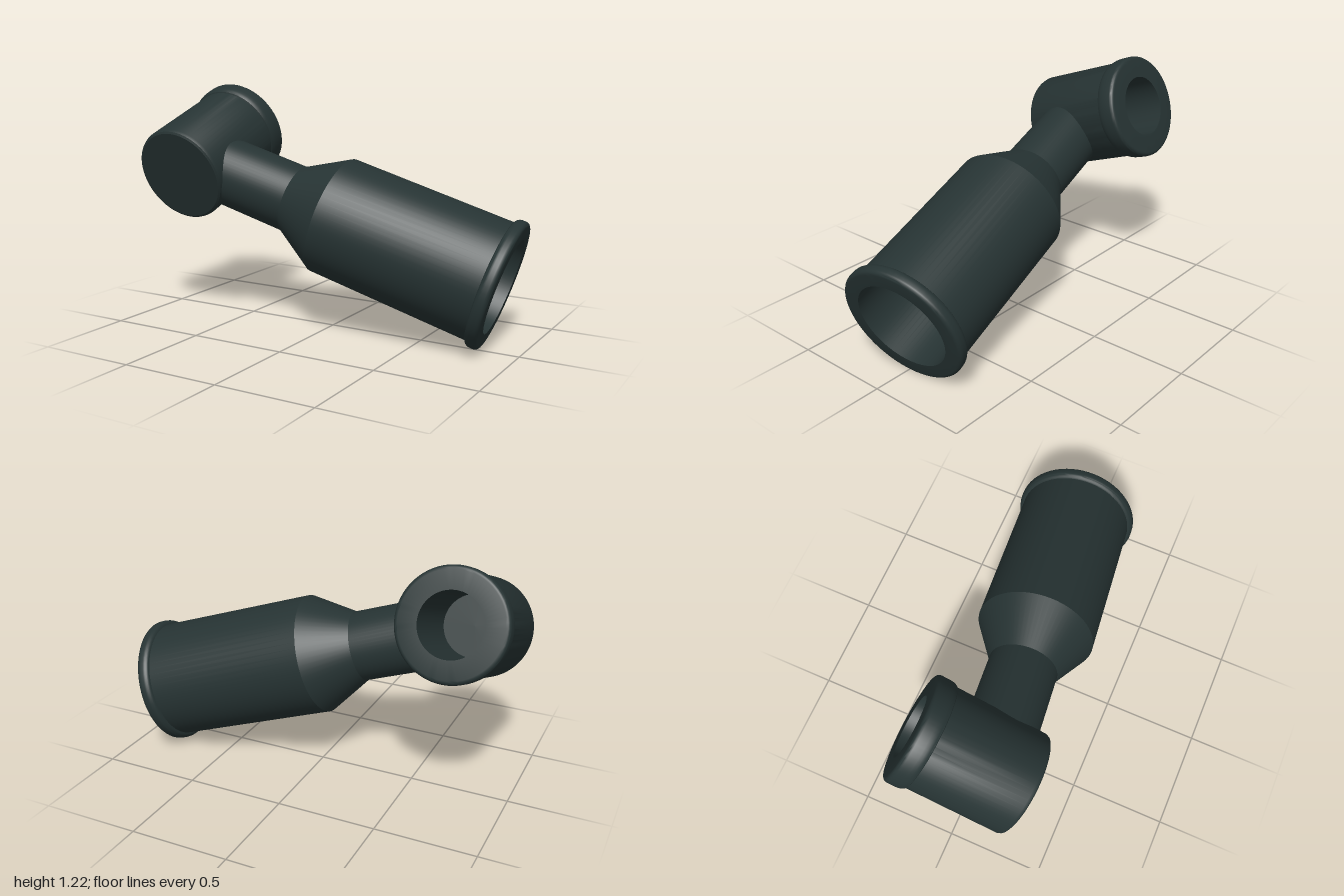
import * as THREE from 'three';
import { toCreasedNormals } from 'three/addons/utils/BufferGeometryUtils.js';

// Turned part: [radius, height] profile spun about an axis that starts at origin
function turned(name, profile, origin, axis, material) {
  const points = profile.map(([r, h]) => new THREE.Vector2(r, h));
  const geometry = toCreasedNormals(new THREE.LatheGeometry(points, 64), 0.5);
  const mesh = new THREE.Mesh(geometry, material);
  mesh.name = name;
  mesh.position.set(...origin);
  mesh.quaternion.setFromUnitVectors(new THREE.Vector3(0, 1, 0), new THREE.Vector3(...axis).normalize());
  return mesh;
}

// Rounded collar running from the body radius out to the flat end face at height h
function collar(body, outer, start, h) {
  const round = (h - start) * 0.4;
  const points = [[body, start]];
  for (let i = 0; i <= 4; i++) {
    const a = (i / 4) * Math.PI / 2;
    points.push([body + (outer - body) * Math.sin(a), start + round * (1 - Math.cos(a))]);
  }
  for (let i = 0; i <= 4; i++) {
    const a = (i / 4) * Math.PI / 2;
    points.push([outer - 0.02 + 0.02 * Math.cos(a), h - 0.02 + 0.02 * Math.sin(a)]);
  }
  return points;
}

export function createModel() {
  const group = new THREE.Group();
  group.name = 'elbowConnector';
  const rubber = new THREE.MeshStandardMaterial({ color: 0x263333 });
  rubber.name = 'dark rubber';

  // Short socket tilted up towards the back, closed at the front
  group.add(turned('headSocket', [
    [0, 0], [0.237, 0], [0.247, 0.006], [0.252, 0.02],
    ...collar(0.252, 0.267, 0.49, 0.593),
    [0.155, 0.593], [0.155, 0.17], [0, 0.17],
  ], [-0.735, 0.773, 0.308], [0, 0.35, -0.937], rubber));

  // Long sleeve: neck, conical shoulder, wide barrel and hollow bore
  const length = 1.558;
  group.add(turned('sleeve', [
    [0.135, 0], [0.175, 0], [0.175, length - 1.141], [0.302, length - 0.913],
    ...collar(0.302, 0.325, length - 0.065, length),
    [0.24, length], [0.24, length - 0.89], [0.135, length - 0.95], [0.135, 0],
  ], [0.893 - 0.945 * length, 0.312 + 0.307 * length, -0.067 + 0.116 * length], [0.945, -0.307, -0.116], rubber));

  return group;
}
